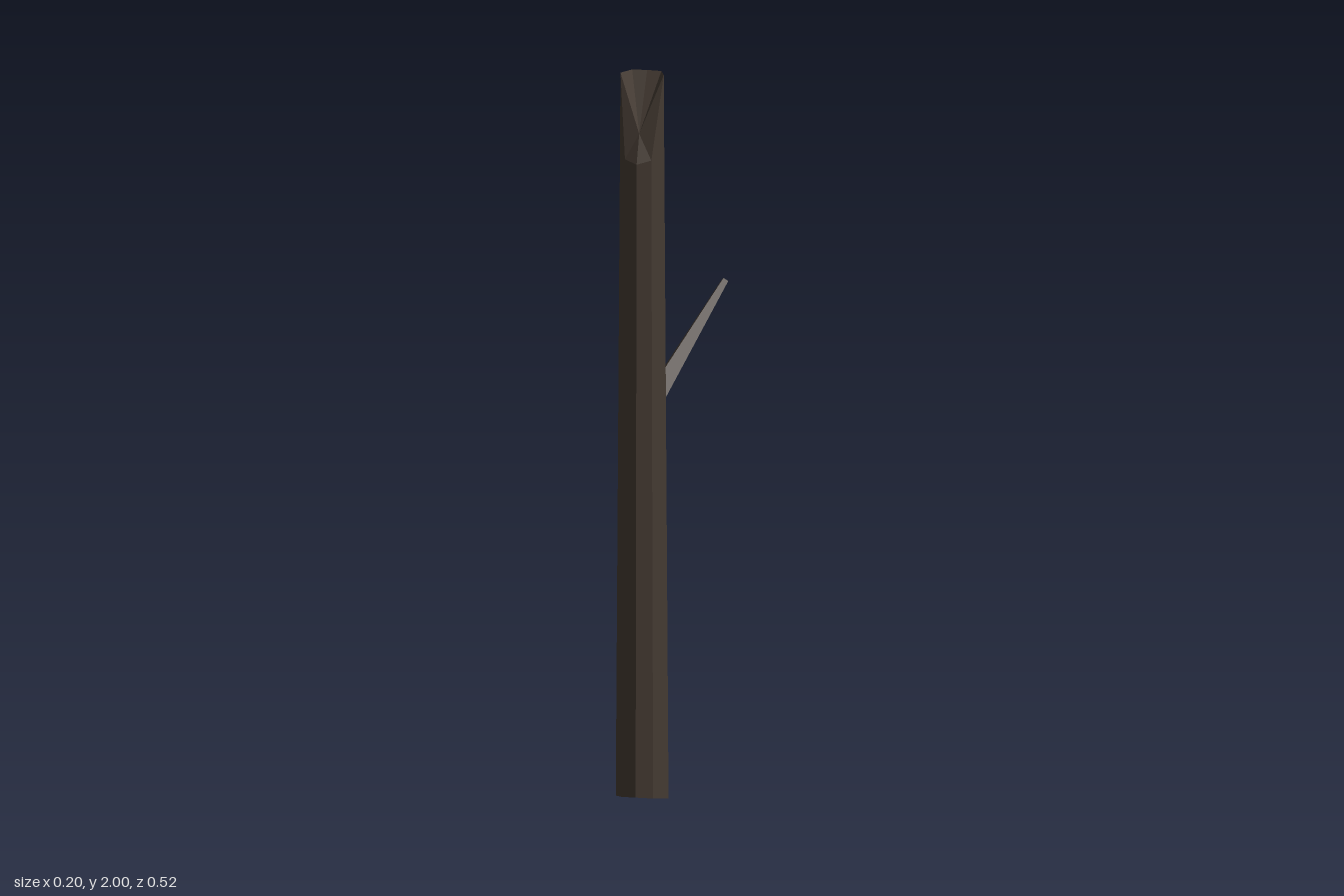
import * as THREE from 'three';

const bark = new THREE.MeshStandardMaterial({ color: 0x443a32, flatShading: true });

// Tapered eight-sided trunk with a broken, scooped top.
function trunkGeometry() {
  const cx = -0.026, cz = 0.19;
  // x offset, z offset, bottom height, top height; starts at the front and goes round by the left
  const corners = [
    [0, 0.067, 0.012, 1.76], [0.044, 0.048, 0.008, 1.77],
    [0.074, -0.002, 0, 2], [0.05, -0.062, 0, 2], [0, -0.067, 0, 2],
    [-0.05, -0.062, 0, 2], [-0.074, -0.002, 0, 2], [-0.044, 0.048, 0.008, 1.77],
  ];
  const point = ([x, z], y) => {
    const s = 1 - 0.09 * y;
    return [cx + x * s, y, cz + z * s];
  };
  const low = corners.map((c) => point(c, c[2]));
  const high = corners.map((c) => point(c, c[3]));
  const scoop = [cx, 1.84, cz + 0.029];
  const base = [cx, 0.002, cz];
  const pos = [];
  corners.forEach((c, i) => {
    const j = (i + 1) % corners.length;
    pos.push(...low[i], ...low[j], ...high[j], ...low[i], ...high[j], ...high[i]); // wall
    pos.push(...scoop, ...high[i], ...high[j]); // broken top
    pos.push(...base, ...low[j], ...low[i]); // underside
  });
  const geo = new THREE.BufferGeometry();
  geo.setAttribute('position', new THREE.Float32BufferAttribute(pos, 3));
  geo.computeVertexNormals();
  return geo;
}

// Tapered four-sided rod between two points, with one ridge facing up.
function branchMesh(from, to, r0, r1) {
  const geo = new THREE.CylinderGeometry(r1, r0, from.distanceTo(to), 4);
  geo.rotateX(Math.PI / 2);
  const mesh = new THREE.Mesh(geo, bark);
  mesh.position.copy(from).lerp(to, 0.5);
  mesh.lookAt(to);
  return mesh;
}

export function createModel() {
  const group = new THREE.Group();
  group.name = 'deadTree';

  const trunk = new THREE.Mesh(trunkGeometry(), bark);
  trunk.name = 'trunk';

  const branch = branchMesh(
    new THREE.Vector3(-0.033, 1.043, 0.15),
    new THREE.Vector3(0.088, 1.346, -0.254), 0.036, 0.011);
  branch.name = 'branch';

  group.add(trunk, branch);
  return group;
}
